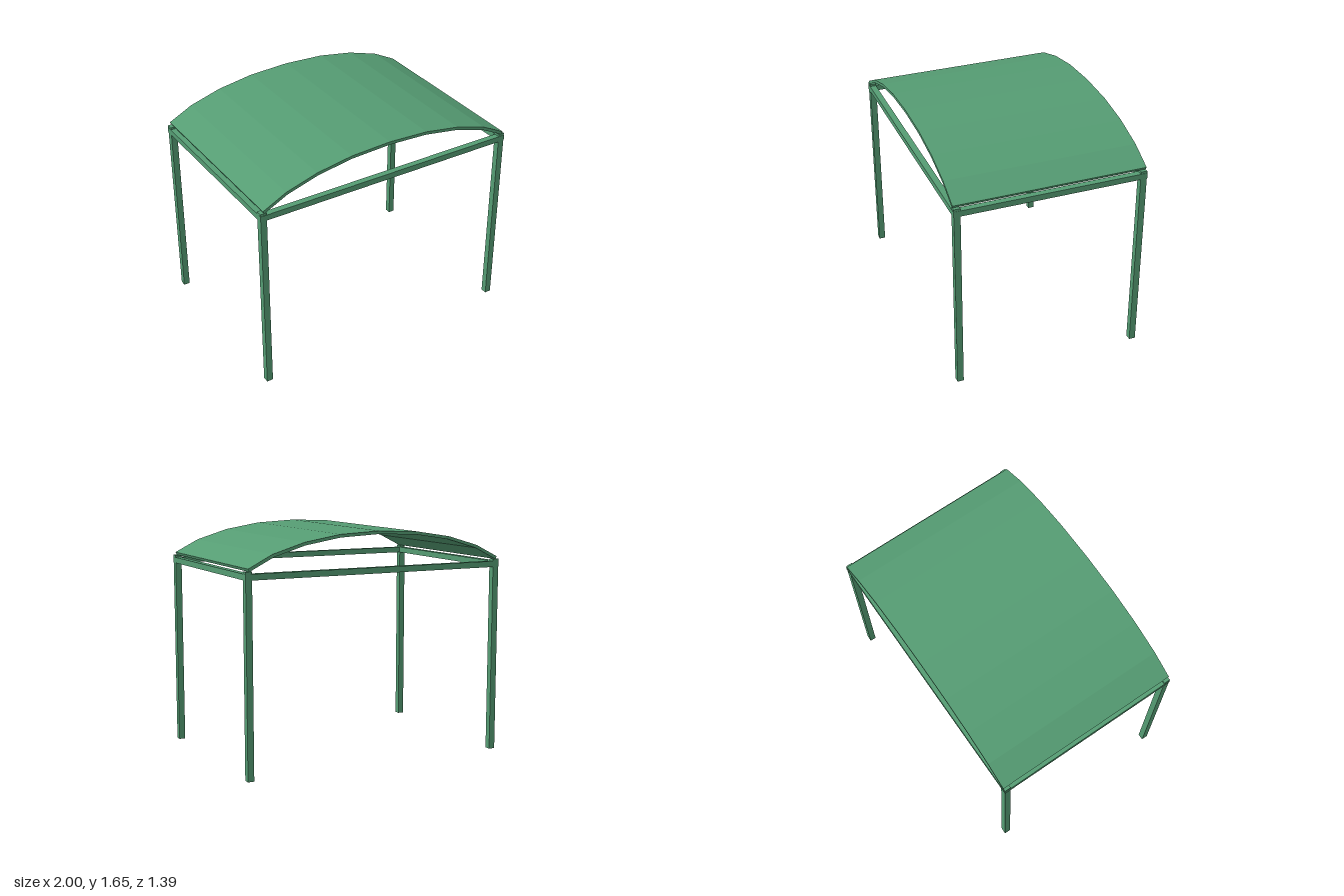
import * as THREE from 'three';

export function createModel() {
  const group = new THREE.Group();
  const green = new THREE.MeshStandardMaterial({ color: 0x559c73 });
  green.name = 'green paint';

  const W = 1, D = 0.693; // half width and half depth
  const bar = 0.046;

  function box(name, w, h, d, x, y, z) {
    const mesh = new THREE.Mesh(new THREE.BoxGeometry(w, h, d), green);
    mesh.name = name;
    mesh.position.set(x, y, z);
    group.add(mesh);
  }

  // Four corner posts
  const postX = W - 0.002 - bar / 2, postZ = D - 0.002 - bar / 2;
  for (const sx of [-1, 1])
    for (const sz of [-1, 1])
      box('post', bar, 1.418, bar, sx * postX, 0.709, sz * postZ);

  // Horizontal frame just below the post tops
  const beamY = 1.381, beamH = 0.042;
  for (const s of [-1, 1]) {
    box('crossBeam', 2 * W, beamH, bar, 0, beamY, s * (D - bar / 2));
    box('sideBeam', bar, beamH, 2 * D, s * (W - bar / 2), beamY, 0);
  }

  // Arched roof: a faceted strip of even thickness
  const half = [[0.3, 1.629], [0.566, 1.586], [0.8, 1.516], [0.976, 1.427]];
  const line = [
    ...half.slice().reverse().map(([x, y]) => [-x, y]),
    [0, 1.643],
    ...half,
  ].map(([x, y]) => new THREE.Vector2(x, y));
  const offset = (side) => line.map((p, i) => {
    const a = line[Math.max(i - 1, 0)], b = line[Math.min(i + 1, line.length - 1)];
    const t = b.clone().sub(a).normalize();
    return new THREE.Vector2(p.x - t.y * side, p.y + t.x * side);
  });
  const shape = new THREE.Shape([...offset(-0.011), ...offset(0.011).reverse()]);
  const roofGeometry = new THREE.ExtrudeGeometry(shape, { depth: 2 * D, bevelEnabled: false });
  roofGeometry.translate(0, 0, -D);
  const roof = new THREE.Mesh(roofGeometry, green);
  roof.name = 'archedRoof';
  group.add(roof);

  return group;
}
